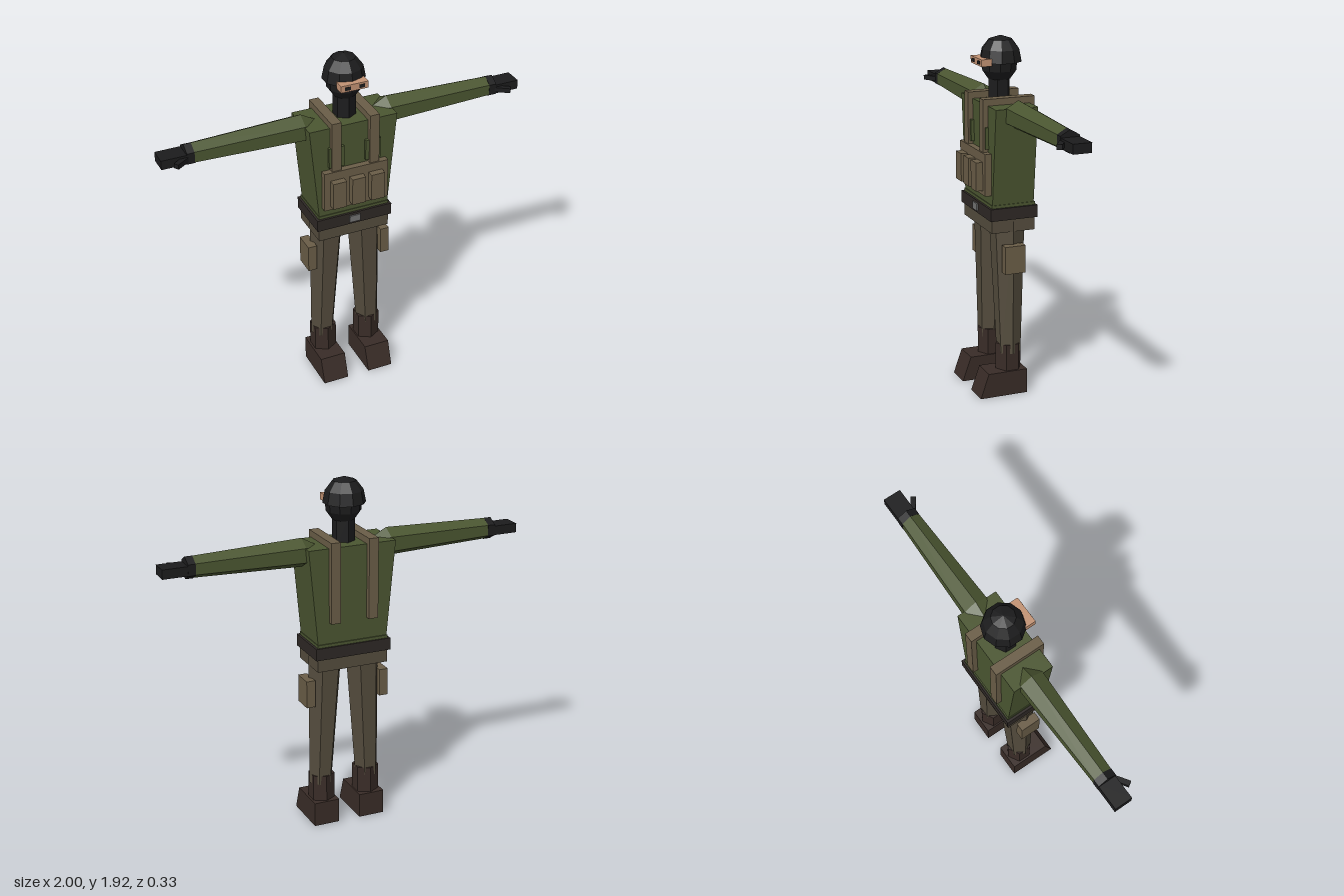
import * as THREE from 'three';

const mat = (color) => new THREE.MeshStandardMaterial({ color, flatShading: true });

export function createModel() {
  const model = new THREE.Group();
  const green = mat(0x4b5631), tan = mat(0x6a5d47), trousers = mat(0x544c3d);
  const boot = mat(0x392c27), leather = mat(0x2e2825), black = mat(0x1c1c1d);
  const skin = mat(0xc29273), metal = mat(0x747474);

  const add = (name, geometry, material) => {
    const mesh = new THREE.Mesh(geometry, material);
    mesh.name = name;
    model.add(mesh);
    return mesh;
  };

  // Box given by its extents on each axis
  const box = (name, material, [x0, x1], [y0, y1], [z0, z1]) => {
    const g = new THREE.BoxGeometry(Math.abs(x1 - x0), y1 - y0, z1 - z0);
    g.translate((x0 + x1) / 2, (y0 + y1) / 2, (z0 + z1) / 2);
    return add(name, g, material);
  };

  // Six-sided tapered limb along y; vertices face x when turned
  const hex = (rTop, rBottom, height, turned = true) => {
    const g = new THREE.CylinderGeometry(rTop, rBottom, height, 6);
    return turned ? g.rotateY(Math.PI / 2) : g;
  };

  // Change each vertex of a geometry by a rule
  const reshape = (g, rule) => {
    const p = g.attributes.position, v = new THREE.Vector3();
    for (let i = 0; i < p.count; i++) {
      rule(v.fromBufferAttribute(p, i));
      p.setXYZ(i, v.x, v.y, v.z);
    }
    g.computeVertexNormals();
    return g;
  };

  const lathe = (name, points, z, material) => {
    const g = new THREE.LatheGeometry(points.map(([r, y]) => new THREE.Vector2(r, y)), 10);
    return add(name, g.translate(0, 0, z), material);
  };

  // Head, helmet and neck
  lathe('head', [[0, 1.69], [0.06, 1.695], [0.092, 1.74], [0.097, 1.79], [0, 1.8]], -0.02, black);
  lathe('helmet', [[0, 1.785], [0.113, 1.785], [0.1, 1.85], [0.062, 1.9], [0, 1.92]], -0.028, black);
  add('neck', hex(0.06, 0.06, 0.15, false).translate(0, 1.635, -0.02), black);
  box('eyeOpening', skin, [-0.075, 0.075], [1.773, 1.81], [0.05, 0.108]);

  // Torso widening to the shoulders
  const torso = new THREE.BoxGeometry(2, 0.53, 0.232).translate(0, 1.315, -0.02);
  add('torso', reshape(torso, (v) => { v.x *= v.y > 1.3 ? 0.245 : 0.195; }), green);
  box('torsoHem', green, [-0.2, 0.2], [1.04, 1.066], [-0.143, 0.1]);

  // Belt and hips
  box('belt', leather, [-0.213, 0.213], [0.985, 1.05], [-0.152, 0.112]);
  box('buckle', metal, [-0.03, 0.03], [0.998, 1.036], [0.1, 0.12]);
  box('hips', trousers, [-0.2, 0.2], [0.915, 0.99], [-0.14, 0.1]);

  // Chest rig
  box('chestPanel', tan, [-0.18, 0.18], [1.115, 1.338], [0.09, 0.13]);
  for (const x of [-0.108, 0, 0.108]) {
    box('magazinePouch', tan, [x - 0.038, x + 0.038], [1.138, 1.29], [0.125, 0.167]);
  }

  for (const s of [1, -1]) {
    const side = (a, b) => [s * a, s * b];

    box('eye', black, side(0.024, 0.055), [1.782, 1.8], [0.1, 0.111]);

    // Straps over the shoulder
    box('strapFront', tan, side(0.08, 0.133), [1.33, 1.615], [0.09, 0.122]);
    box('strapTop', tan, side(0.08, 0.133), [1.575, 1.615], [-0.165, 0.122]);
    box('strapBack', tan, side(0.08, 0.133), [1.18, 1.615], [-0.165, -0.13]);
    box('chestPocket', green, side(0.06, 0.145), [1.355, 1.47], [0.09, 0.113]);

    // Arm
    const along = (g, x, y) => g.rotateZ(-s * Math.PI / 2).translate(s * x, y, -0.028);
    add('shoulder', along(hex(0.077, 0, 0.14), 0.17, 1.545), green);
    add('sleeve', along(hex(0.057, 0.077, 0.6), 0.54, 1.545), green);
    add('cuff', along(hex(0.059, 0.059, 0.04), 0.846, 1.544), black);

    // Hand
    box('hand', black, side(0.85, 1), [1.515, 1.565], [-0.078, 0.02]);
    const thumb = box('thumb', black, [-0.05, 0.05], [-0.013, 0.013], [-0.014, 0.014]);
    thumb.position.set(s * 0.894, 1.54, 0.03);
    thumb.rotation.y = -s * 0.6;

    // Leg leaning outwards towards the foot
    const leg = hex(0.095, 0.065, 0.74).translate(0, 0.6, -0.02);
    add('leg', reshape(leg, (v) => { v.x += s * (0.137 - 0.03 * (v.y - 0.23) / 0.74); }), trousers);
    box('thighPocket', tan, side(0.188, 0.237), [0.695, 0.845], [-0.075, 0.04]);

    // Boot with a sloping toe
    add('bootShaft', hex(0.072, 0.072, 0.16, false).translate(s * 0.132, 0.2, -0.02), boot);
    const foot = new THREE.BoxGeometry(0.143, 0.135, 0.22).translate(s * 0.134, 0.0675, 0.01);
    add('foot', reshape(foot, (v) => { if (v.z > 0 && v.y < 0.01) v.z = 0.167; }), boot);
  }
  return model;
}
